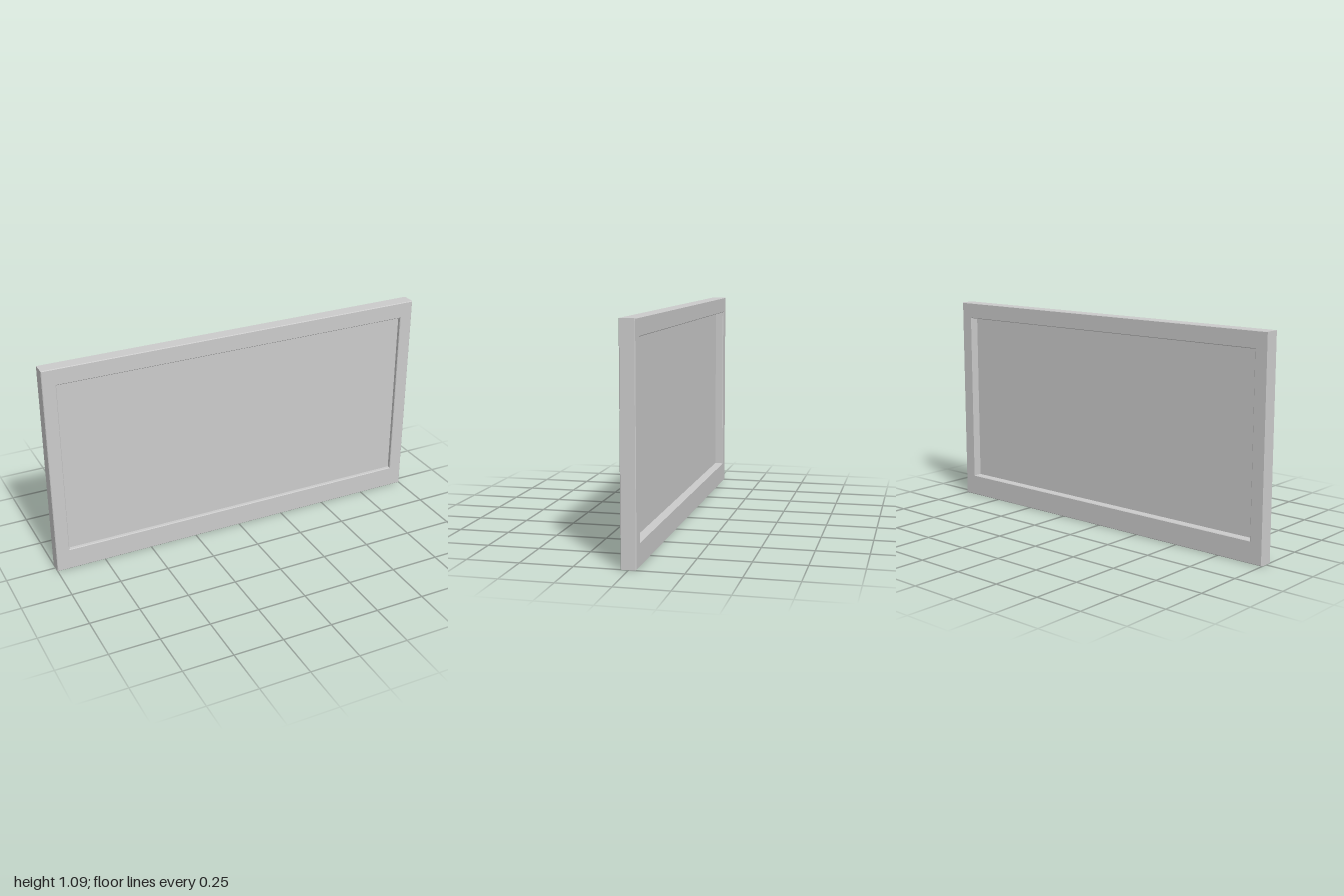
import * as THREE from 'three';

const WIDTH = 2, HEIGHT = 1.087, DEPTH = 0.072, BEVEL = 0.003;
const OPEN = { x: 0.932, bottom: 0.11, top: 1.004 };

// Traces a rectangle on a Shape or Path
function rect(path, x, y0, y1) {
  path.moveTo(-x, y0);
  path.lineTo(x, y0);
  path.lineTo(x, y1);
  path.lineTo(-x, y1);
  path.closePath();
  return path;
}

export function createModel() {
  const group = new THREE.Group();
  group.name = 'framedPanel';
  const material = new THREE.MeshStandardMaterial({ color: 0xcccccc });

  // Surrounding frame with slightly eased edges, wider at the bottom
  const outline = rect(new THREE.Shape(), WIDTH / 2, 0, HEIGHT);
  outline.holes.push(rect(new THREE.Path(), OPEN.x, OPEN.bottom, OPEN.top));
  const frameGeometry = new THREE.ExtrudeGeometry(outline, {
    depth: DEPTH - 2 * BEVEL,
    bevelEnabled: true,
    bevelThickness: BEVEL,
    bevelSize: BEVEL,
    bevelOffset: -BEVEL,
    bevelSegments: 1,
  });
  frameGeometry.translate(0, 0, -DEPTH / 2 + BEVEL);
  const frame = new THREE.Mesh(frameGeometry, material);
  frame.name = 'frame';
  group.add(frame);

  // Thin panel, recessed less at the front than at the back
  const panel = new THREE.Mesh(
    new THREE.BoxGeometry(2 * OPEN.x, OPEN.top - OPEN.bottom, 0.01),
    material
  );
  panel.name = 'panel';
  panel.position.set(0, (OPEN.top + OPEN.bottom) / 2, 0.012);
  group.add(panel);

  return group;
}
